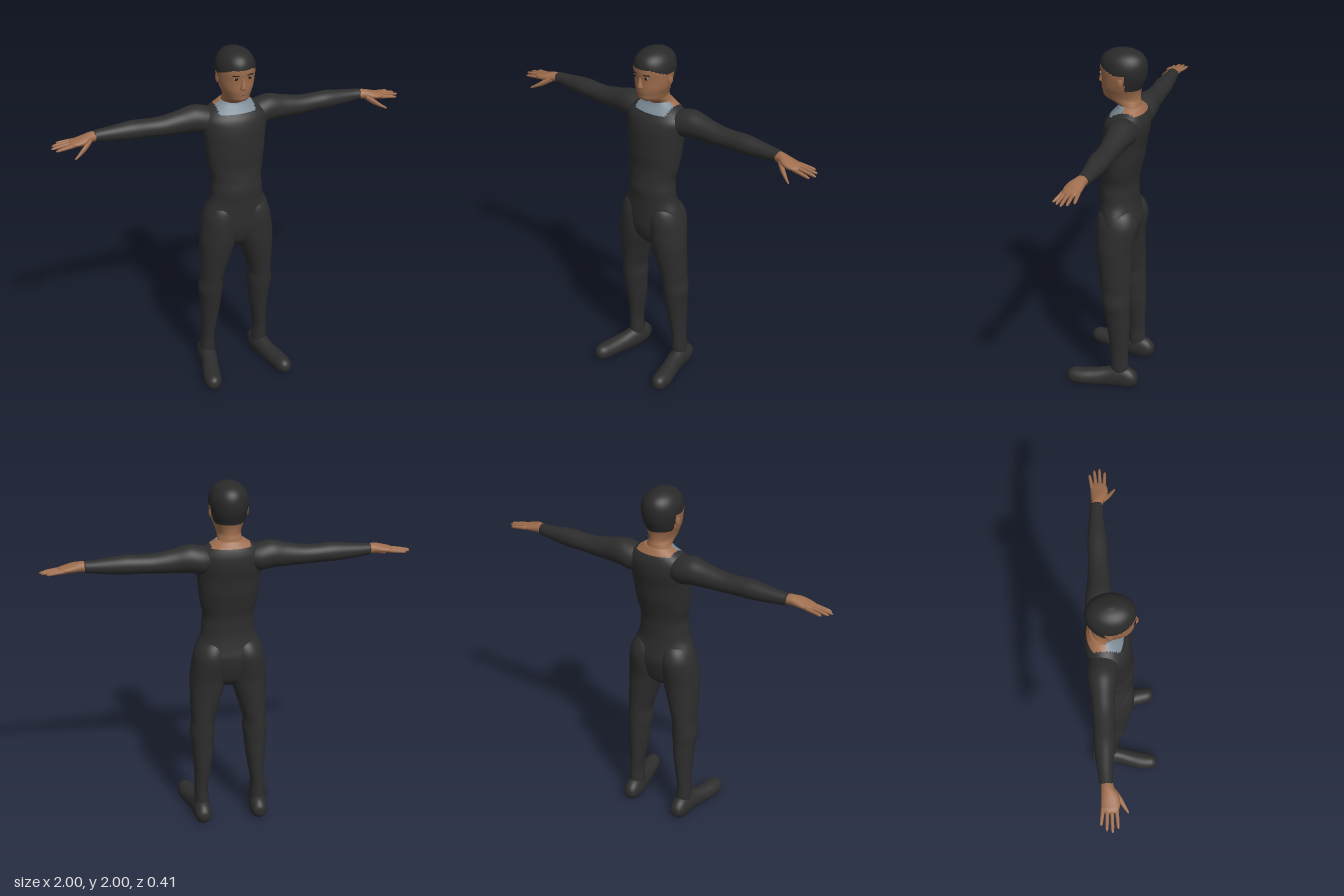
import * as THREE from 'three';

const mat = (name, color) => Object.assign(new THREE.MeshStandardMaterial({ color }), { name });

// Cross-section axes: rows are [t, centreU, centreV, radiusU, radiusV] with t ascending
const AXES = {
  x: (t, u, v) => [t, u, v],
  y: (t, u, v) => [v, t, u],
  z: (t, u, v) => [u, v, t],
};

// Smoothly interpolates rows (Catmull-Rom) and skins them with closed elliptical rings
function loft(axis, rows, { sides = 32, steps = 5, pick = () => 0, floor = -1 } = {}) {
  const rings = [];
  const at = (i) => rows[Math.max(0, Math.min(rows.length - 1, i))];
  for (let i = 0; i < rows.length - 1; i++) {
    for (let s = i ? 1 : 0; s <= steps; s++) {
      const k = s / steps;
      rings.push(rows[0].map((_, c) => {
        const [p, q, r, w] = [at(i - 1)[c], at(i)[c], at(i + 1)[c], at(i + 2)[c]];
        return 0.5 * (2 * q + (r - p) * k + (2 * p - 5 * q + 4 * r - w) * k * k + (3 * q - p - 3 * r + w) * k ** 3);
      }));
    }
  }
  const pos = [];
  const push = (t, u, v) => {
    const p = AXES[axis](t, u, v);
    pos.push(p[0], Math.max(floor, p[1]), p[2]);
  };
  for (const [t, u, v, ru, rv] of rings) {
    for (let j = 0; j < sides; j++) {
      const a = (j / sides) * Math.PI * 2;
      push(t, u + Math.max(0.001, ru) * Math.cos(a), v + Math.max(0.001, rv) * Math.sin(a));
    }
  }
  const last = rings.length - 1;
  push(...rings[0].slice(0, 3));
  push(...rings[last].slice(0, 3));
  const c0 = rings.length * sides, lists = [];
  const face = (...ids) => {
    const mid = [0, 1, 2].map((k) => ids.reduce((s, i) => s + pos[i * 3 + k], 0) / ids.length);
    const list = (lists[pick(...mid)] ??= []);
    list.push(ids[0], ids[1], ids[2]);
    if (ids.length > 3) list.push(ids[0], ids[2], ids[3]);
  };
  for (let j = 0; j < sides; j++) {
    const n = (j + 1) % sides;
    for (let i = 0; i < last; i++) {
      face(i * sides + j, i * sides + n, (i + 1) * sides + n, (i + 1) * sides + j);
    }
    face(c0, n, j);
    face(c0 + 1, last * sides + j, last * sides + n);
  }
  const geo = new THREE.BufferGeometry();
  geo.setAttribute('position', new THREE.Float32BufferAttribute(pos, 3));
  const index = [];
  lists.forEach((list, m) => {
    geo.addGroup(index.length, list.length, m);
    for (const i of list) index.push(i);
  });
  geo.setIndex(index);
  geo.computeVertexNormals();
  return geo;
}

// Reflects a geometry across x = 0 and restores its winding
function mirrored(geo) {
  const g = geo.clone().scale(-1, 1, 1), ix = g.index.array;
  for (let i = 0; i < ix.length; i += 3) [ix[i], ix[i + 1]] = [ix[i + 1], ix[i]];
  g.computeVertexNormals();
  return g;
}

const blob = (x, y, z, sx, sy, sz) => new THREE.SphereGeometry(1, 16, 12).scale(sx, sy, sz).translate(x, y, z);

export function createModel() {
  const group = new THREE.Group();
  const suit = mat('suit charcoal', 0x2d2d2d);
  const hair = mat('hair black', 0x29292a);
  const skin = mat('skin brown', 0x9e6d4d);
  const collar = mat('collar grey blue', 0x7b8994);
  const lip = mat('lip brown', 0x85573f);
  const white = mat('eye grey', 0x8f8983);
  const dark = mat('pupil dark', 0x241c19);

  const add = (name, geo, material) => {
    const m = new THREE.Mesh(geo, material);
    m.name = name;
    group.add(m);
  };
  const pair = (name, geo, material) => {
    add('left' + name, geo, material);
    add('right' + name, mirrored(geo), material);
  };

  // Torso with grey collar in front and bare nape behind
  add('torso', loft('y', [
    [0.84, -0.05, 0, 0.05, 0.04],
    [0.88, -0.05, 0, 0.085, 0.13],
    [0.95, -0.05, 0, 0.105, 0.186],
    [1.02, -0.053, 0, 0.113, 0.196],
    [1.08, -0.048, 0, 0.108, 0.18],
    [1.14, -0.043, 0, 0.104, 0.153],
    [1.2, -0.04, 0, 0.104, 0.146],
    [1.26, -0.045, 0, 0.1, 0.141],
    [1.33, -0.056, 0, 0.103, 0.155],
    [1.4, -0.062, 0, 0.112, 0.164],
    [1.48, -0.068, 0, 0.116, 0.172],
    [1.55, -0.077, 0, 0.121, 0.182],
    [1.61, -0.086, 0, 0.115, 0.185],
    [1.65, -0.096, 0, 0.096, 0.155],
    [1.68, -0.102, 0, 0.075, 0.108],
    [1.7, -0.1, 0, 0.064, 0.077],
  ], {
    sides: 64, steps: 6,
    pick: (x, y, z) => (Math.abs(x) > 0.105 ? 0 : z > -0.09 ? (y > 1.642 ? 1 : 0) : y > 1.665 ? 2 : 0),
  }), [suit, collar, skin]);

  // Legs
  pair('Leg', loft('y', [
    [0.06, -0.1, 0.163, 0.05, 0.043],
    [0.13, -0.097, 0.165, 0.052, 0.042],
    [0.2, -0.095, 0.165, 0.051, 0.038],
    [0.3, -0.09, 0.158, 0.058, 0.046],
    [0.4, -0.083, 0.153, 0.068, 0.057],
    [0.48, -0.075, 0.152, 0.074, 0.063],
    [0.55, -0.07, 0.152, 0.08, 0.072],
    [0.62, -0.066, 0.148, 0.084, 0.066],
    [0.7, -0.06, 0.138, 0.09, 0.078],
    [0.8, -0.052, 0.123, 0.099, 0.093],
    [0.88, -0.048, 0.111, 0.105, 0.105],
    [0.96, -0.053, 0.104, 0.113, 0.103],
    [1.03, -0.056, 0.099, 0.115, 0.096],
    [1.09, -0.052, 0.09, 0.095, 0.078],
    [1.13, -0.05, 0.08, 0.05, 0.04],
  ]), suit);

  // Shoes, turned outward with flat soles
  pair('Shoe', loft('z', [
    [-0.204, 0.163, 0.05, 0.01, 0.01],
    [-0.195, 0.163, 0.05, 0.032, 0.035],
    [-0.16, 0.164, 0.052, 0.048, 0.062],
    [-0.1, 0.167, 0.054, 0.052, 0.072],
    [-0.03, 0.178, 0.047, 0.05, 0.062],
    [0.04, 0.197, 0.042, 0.052, 0.054],
    [0.11, 0.214, 0.04, 0.053, 0.05],
    [0.17, 0.222, 0.04, 0.045, 0.046],
    [0.198, 0.224, 0.04, 0.026, 0.028],
    [0.206, 0.224, 0.04, 0.006, 0.006],
  ], { floor: 0 }), suit);

  // Sleeves
  pair('Sleeve', loft('x', [
    [0.09, 1.6, -0.105, 0.05, 0.06],
    [0.15, 1.595, -0.108, 0.075, 0.078],
    [0.22, 1.606, -0.112, 0.075, 0.074],
    [0.3, 1.599, -0.112, 0.064, 0.062],
    [0.4, 1.592, -0.112, 0.053, 0.055],
    [0.48, 1.594, -0.113, 0.05, 0.052],
    [0.56, 1.596, -0.113, 0.051, 0.052],
    [0.65, 1.595, -0.114, 0.043, 0.043],
    [0.72, 1.596, -0.113, 0.035, 0.036],
    [0.766, 1.597, -0.11, 0.031, 0.033],
  ]), suit);

  // Hands
  pair('Palm', loft('x', [
    [0.74, 1.597, -0.11, 0.027, 0.029],
    [0.785, 1.598, -0.104, 0.027, 0.033],
    [0.82, 1.593, -0.095, 0.025, 0.043],
    [0.86, 1.587, -0.093, 0.019, 0.046],
    [0.89, 1.584, -0.096, 0.014, 0.041],
    [0.905, 1.583, -0.097, 0.006, 0.025],
  ], { sides: 20 }), skin);

  // Fingers: root height and depth, tip x, height and depth
  const fingers = [
    [1.585, -0.129, 0.963, 1.576, -0.143],
    [1.588, -0.109, 0.99, 1.574, -0.116],
    [1.587, -0.088, 1.0, 1.571, -0.088],
    [1.582, -0.066, 0.98, 1.567, -0.06],
  ];
  fingers.forEach(([y0, z0, x1, y1, z1], i) => {
    const row = (k, r) => [0.87 + (x1 - 0.87) * k, y0 + (y1 - y0) * k, z0 + (z1 - z0) * k, r, r];
    pair('Finger' + (i + 1), loft('x', [row(0, 0.011), row(0.5, 0.0095), row(0.88, 0.0075), row(1, 0.002)],
      { sides: 10, steps: 4 }), skin);
  });
  pair('Thumb', loft('x', [
    [0.79, 1.59, -0.08, 0.016, 0.016],
    [0.825, 1.568, -0.055, 0.018, 0.017],
    [0.865, 1.545, -0.028, 0.011, 0.011],
    [0.89, 1.533, -0.012, 0.006, 0.006],
    [0.897, 1.53, -0.009, 0.002, 0.002],
  ], { sides: 10 }), skin);

  // Head and neck, with short hair cut around the temples and nape
  const hairline = (z) => (z < -0.092 ? 1.79 : 1.88 + 0.035 * Math.min(1, Math.max(0, (z + 0.03) / 0.09)));
  add('head', loft('y', [
    [1.64, -0.105, 0, 0.06, 0.072],
    [1.69, -0.098, 0, 0.062, 0.068],
    [1.712, -0.082, 0, 0.075, 0.065],
    [1.735, -0.054, 0, 0.098, 0.066],
    [1.765, -0.049, 0, 0.104, 0.076],
    [1.8, -0.051, 0, 0.111, 0.09],
    [1.85, -0.06, 0, 0.121, 0.101],
    [1.9, -0.06, 0, 0.127, 0.105],
    [1.94, -0.06, 0, 0.12, 0.096],
    [1.97, -0.06, 0, 0.098, 0.076],
    [1.99, -0.06, 0, 0.06, 0.046],
    [2.0, -0.06, 0, 0.012, 0.01],
  ], { sides: 72, steps: 7, pick: (x, y, z) => (y > hairline(z) ? 1 : 0) }), [skin, hair]);

  // Facial features
  add('nose', loft('y', [
    [1.8, 0.052, 0, 0.006, 0.008],
    [1.81, 0.06, 0, 0.016, 0.017],
    [1.823, 0.06, 0, 0.017, 0.014],
    [1.85, 0.058, 0, 0.011, 0.009],
    [1.875, 0.054, 0, 0.008, 0.007],
  ], { sides: 16 }), skin);
  add('lips', blob(0, 1.773, 0.05, 0.024, 0.006, 0.008), lip);
  pair('Eye', blob(0.037, 1.868, 0.055, 0.014, 0.008, 0.005), white);
  pair('Pupil', blob(0.037, 1.868, 0.058, 0.009, 0.008, 0.004), dark);
  pair('Brow', new THREE.BoxGeometry(0.036, 0.005, 0.006).rotateY(0.26).translate(0.039, 1.885, 0.058), dark);
  pair('Ear', blob(0.1, 1.84, -0.068, 0.006, 0.026, 0.017), skin);

  return group;
}
